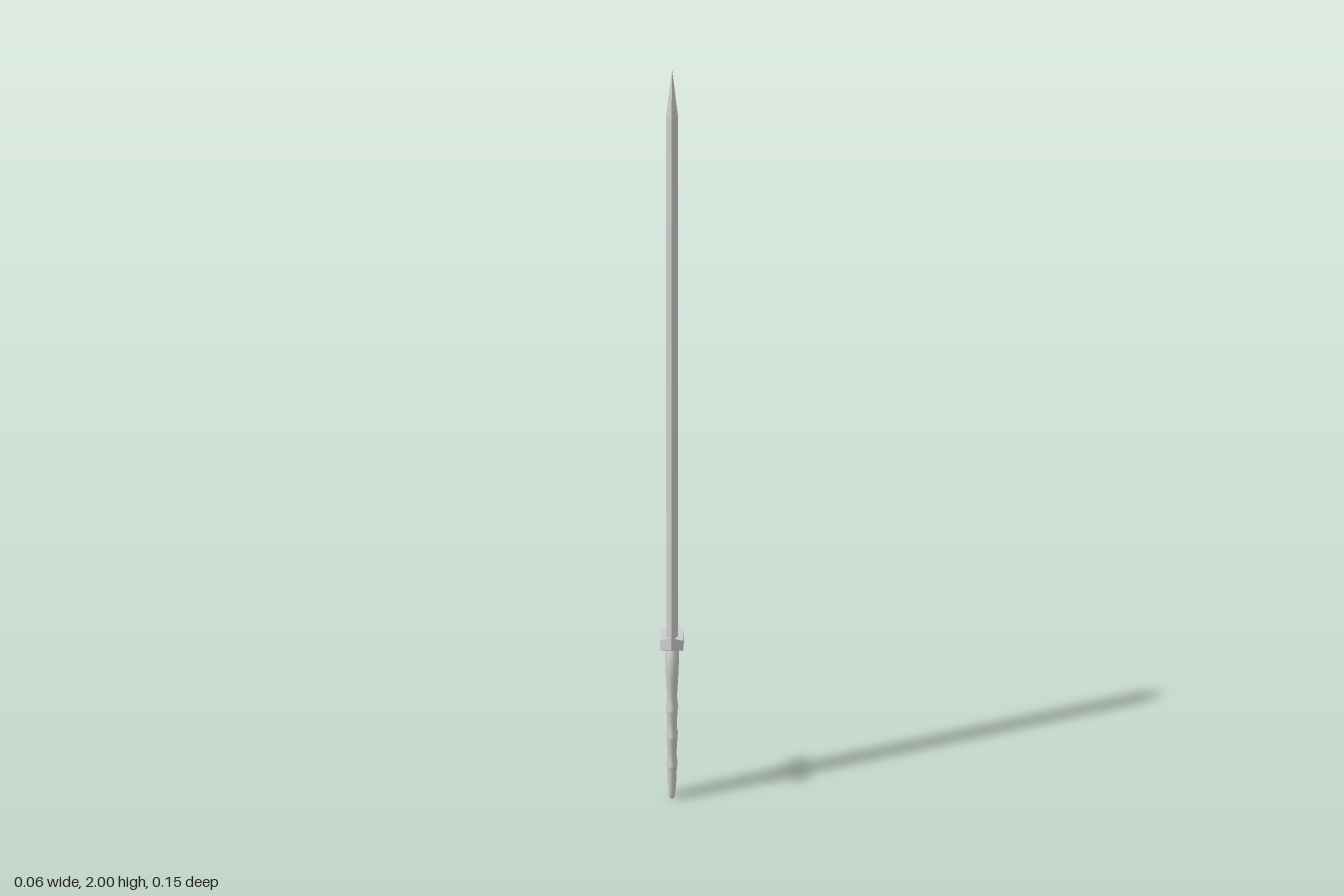
import * as THREE from 'three';

const points = (rows) => rows.map(([r, y]) => new THREE.Vector2(r, y));

// Turned profile (radius along z, height), flattened across x
function flattenedLathe(name, rows, sides, flatten, flatShading) {
  const geometry = new THREE.LatheGeometry(points(rows), sides);
  geometry.scale(flatten, 1, 1);
  const material = new THREE.MeshStandardMaterial({ color: 0xcccccc, flatShading });
  const mesh = new THREE.Mesh(geometry, material);
  mesh.name = name;
  return mesh;
}

// Hexagonal crossguard with pointed ends swept upward
function createGuard() {
  const geometry = new THREE.BoxGeometry(2, 2, 3, 1, 1, 3);
  const p = geometry.attributes.position;
  for (let i = 0; i < p.count; i++) {
    const end = Math.abs(p.getZ(i)) > 1;
    const top = p.getY(i) > 0;
    const halfWidth = end ? 0.0005 : 0.031;
    const y = end ? (top ? 0.5 : 0.467) : (top ? 0.476 : 0.447);
    p.setXYZ(i, Math.sign(p.getX(i)) * halfWidth, y, Math.sign(p.getZ(i)) * (end ? 0.073 : 0.031));
  }
  geometry.computeVertexNormals();
  const mesh = new THREE.Mesh(geometry, new THREE.MeshStandardMaterial({ color: 0xcccccc, flatShading: true }));
  mesh.name = 'guard';
  return mesh;
}

export function createModel() {
  const sword = new THREE.Group();
  sword.name = 'sword';

  // Four-sided blade with a central ridge and a short point
  sword.add(flattenedLathe('blade', [[0.035, 0.455], [0.035, 1.88], [0, 2]], 4, 0.44, true));
  sword.add(createGuard());

  // Oval grip, narrowing downward, with three raised rings
  const grip = [[0, 0], [0.015, 0], [0.02, 0.012], [0.026, 0.05], [0.029, 0.092]];
  const rings = [[0.1, 0.034], [0.19, 0.036], [0.27, 0.037]];
  for (const [y, r] of rings) {
    grip.push([r - 0.003, y - 0.006], [r, y], [r - 0.005, y + 0.01]);
    grip.push([r - 0.007, y + 0.035]);
  }
  grip.push([0.038, 0.37], [0.043, 0.45], [0, 0.45]);
  sword.add(flattenedLathe('grip', grip, 16, 0.46, false));

  return sword;
}
